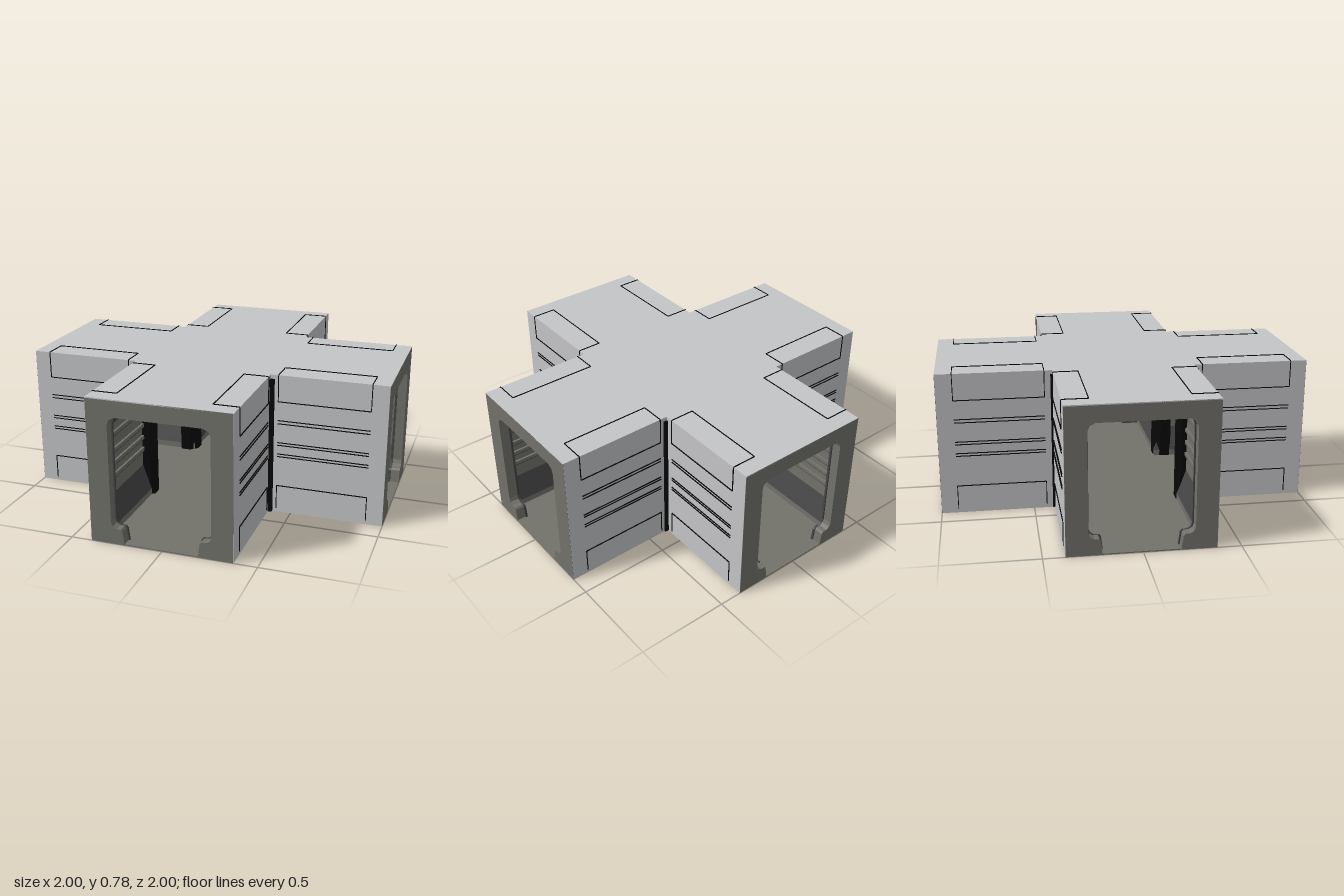
import * as THREE from 'three';

const mat = (name, color, side = THREE.FrontSide) => {
  const m = new THREE.MeshStandardMaterial({ color, side });
  m.name = name;
  return m;
};

export function createModel() {
  const shell = mat('light grey shell', 0xc4c5c7, THREE.DoubleSide);
  const stone = mat('olive grey', 0x72716a, THREE.DoubleSide);
  const dark = mat('dark grey', 0x454545, THREE.DoubleSide);
  const black = mat('black', 0x080808, THREE.DoubleSide);
  const ceilingGrey = mat('ceiling grey', 0x8e8e89, THREE.DoubleSide);

  const H = 0.78, W = 0.382, OFF = 0.006;
  const model = new THREE.Group();
  model.name = 'corridorCrossing';
  const body = new THREE.Group();
  body.name = 'body';
  body.position.set(-OFF, 0, -OFF);
  model.add(body);

  const add = (parent, name, geo, material, x = 0, y = 0, z = 0) => {
    const m = new THREE.Mesh(geo, material);
    m.name = name;
    m.position.set(x, y, z);
    parent.add(m);
    return m;
  };
  // box given by its minimum and maximum corners
  const box = (parent, name, material, a, b) =>
    add(parent, name, new THREE.BoxGeometry(...a.map((v, i) => Math.abs(b[i] - v))), material,
      ...a.map((v, i) => (v + b[i]) / 2));

  // horizontal cross-shaped slab
  const slab = (name, w, lo, hi, y, depth, material) => {
    const s = new THREE.Shape([[w, hi], [w, w], [hi, w], [hi, -w], [w, -w], [w, -lo],
      [-w, -lo], [-w, -w], [-lo, -w], [-lo, w], [-w, w], [-w, hi]].map(p => new THREE.Vector2(...p)));
    const g = new THREE.ExtrudeGeometry(s, { depth, bevelEnabled: false });
    g.rotateX(Math.PI / 2);
    return add(body, name, g, material, 0, y + depth, 0);
  };
  const lo = 1 - OFF, hi = 1 + OFF;
  slab('roof', W, lo, hi, H - 0.006, 0.006, shell);
  slab('ceiling', 0.28, lo - 0.04, hi - 0.04, 0.7, 0.004, ceilingGrey);
  slab('floor', W - 0.003, lo - 0.001, hi - 0.001, 0, 0.006, stone);

  // portal outline, open at the bottom, with a foot on each side
  const portal = (half, top, inset) => {
    const side = [[0.197, 0], [0.207, 0.075], [0.215, 0.085], [0.24, 0.087], [0.26, 0.098],
      [0.268, 0.12], [0.268, 0.645], [0.258, 0.672], [0.23, 0.687]]
      .map(([x, y]) => [x - inset, y > 0.6 ? y - inset : y]);
    const pts = [[-half, 0], [-half, top], [half, top], [half, 0], ...side,
      ...side.map(([x, y]) => [-x, y]).reverse()];
    return new THREE.Shape(pts.map(p => new THREE.Vector2(...p)));
  };
  const extrude = (shape, depth) => new THREE.ExtrudeGeometry(shape, { depth, bevelEnabled: false });

  // longitudinal strip between two profile points, mitred at the junction
  const strip = (s, [x0, y0], [x1, y1], end) => {
    const g = new THREE.BufferGeometry();
    g.setAttribute('position', new THREE.Float32BufferAttribute(
      [s * x0, y0, x0, s * x0, y0, end, s * x1, y1, end, s * x1, y1, x1], 3));
    g.setIndex(s > 0 ? [0, 1, 2, 0, 2, 3] : [0, 2, 1, 0, 3, 2]);
    g.computeVertexNormals();
    return g;
  };

  const names = ['front', 'left', 'back', 'right'];
  for (let k = 0; k < 4; k++) {
    const arm = new THREE.Group();
    arm.name = names[k] + 'Arm';
    arm.rotation.y = k * Math.PI / 2;
    body.add(arm);
    const L = k < 2 ? hi : lo;

    add(arm, 'endFrame', extrude(portal(W - 0.001, H - 0.001, 0), 0.05), stone, 0, 0, L - 0.05);
    add(arm, 'doorSeal', extrude(portal(W - 0.02, H - 0.02, 0.007), 0.012), dark, 0, 0, L - 0.062);

    for (const s of [1, -1]) {
      box(arm, 'outerWall', shell, [s * (W - 0.006), 0, W - 0.006], [s * W, H, L - 0.001]);

      // interior wall: kerb, lower slope, upright wall, upper slope
      const prof = [[0.3, 0.004], [0.3, 0.04], [0.348, 0.18], [0.348, 0.56], [0.28, 0.7]];
      ['kerb', 'lowerSlope', 'innerWall', 'upperSlope'].forEach((name, i) =>
        add(arm, name, strip(s, prof[i], prof[i + 1], L - 0.05), i % 2 ? dark : stone));
      for (const y of [0.27, 0.34, 0.41, 0.5]) {
        box(arm, 'innerRib', stone, [s * 0.336, y, 0.4], [s * 0.348, y + 0.02, L - 0.08]);
        box(arm, 'ribShadowLine', dark, [s * 0.34, y - 0.008, 0.4], [s * 0.348, y, L - 0.08]);
      }

      // panel seams on the outer wall
      const z0 = 0.425, z1 = L - 0.09, t = 0.002, r = 0.005;
      for (const y of [0.155, 0.325, 0.34, 0.39, 0.405, 0.512, 0.53, 0.635])
        box(arm, 'wallSeam', black, [s * (W - 0.001), y - t, z0], [s * (W + r), y + t, z1]);
      for (const z of [z0, z1]) {
        box(arm, 'lowerPanelSeam', black, [s * (W - 0.001), 0.02, z - t], [s * (W + 0.004), 0.155, z + t]);
        box(arm, 'upperPanelSeam', black, [s * (W - 0.001), 0.635, z - t], [s * (W + 0.004), H, z + t]);
        box(arm, 'roofSeam', black, [s * 0.25, H - 0.001, z - t], [s * W, H + 0.004, z + t]);
      }
      box(arm, 'roofSeam', black, [s * 0.25 - t, H - 0.001, z0], [s * 0.25 + t, H + 0.004, z1]);
    }
  }

  // corner posts in the four inner angles of the crossing
  const foot = [[0.29, 0.385], [0.29, 0.33], [0.33, 0.29], [0.385, 0.29], [0.398, 0.31],
    [0.398, 0.398], [0.31, 0.398]];
  for (let k = 0; k < 4; k++) {
    const g = extrude(new THREE.Shape(foot.map(p => new THREE.Vector2(...p))), 0.755);
    g.rotateX(-Math.PI / 2);
    const post = add(model, 'cornerPost', g, black, 0, 0.003, 0);
    post.rotation.y = k * Math.PI / 2;
  }
  return model;
}
